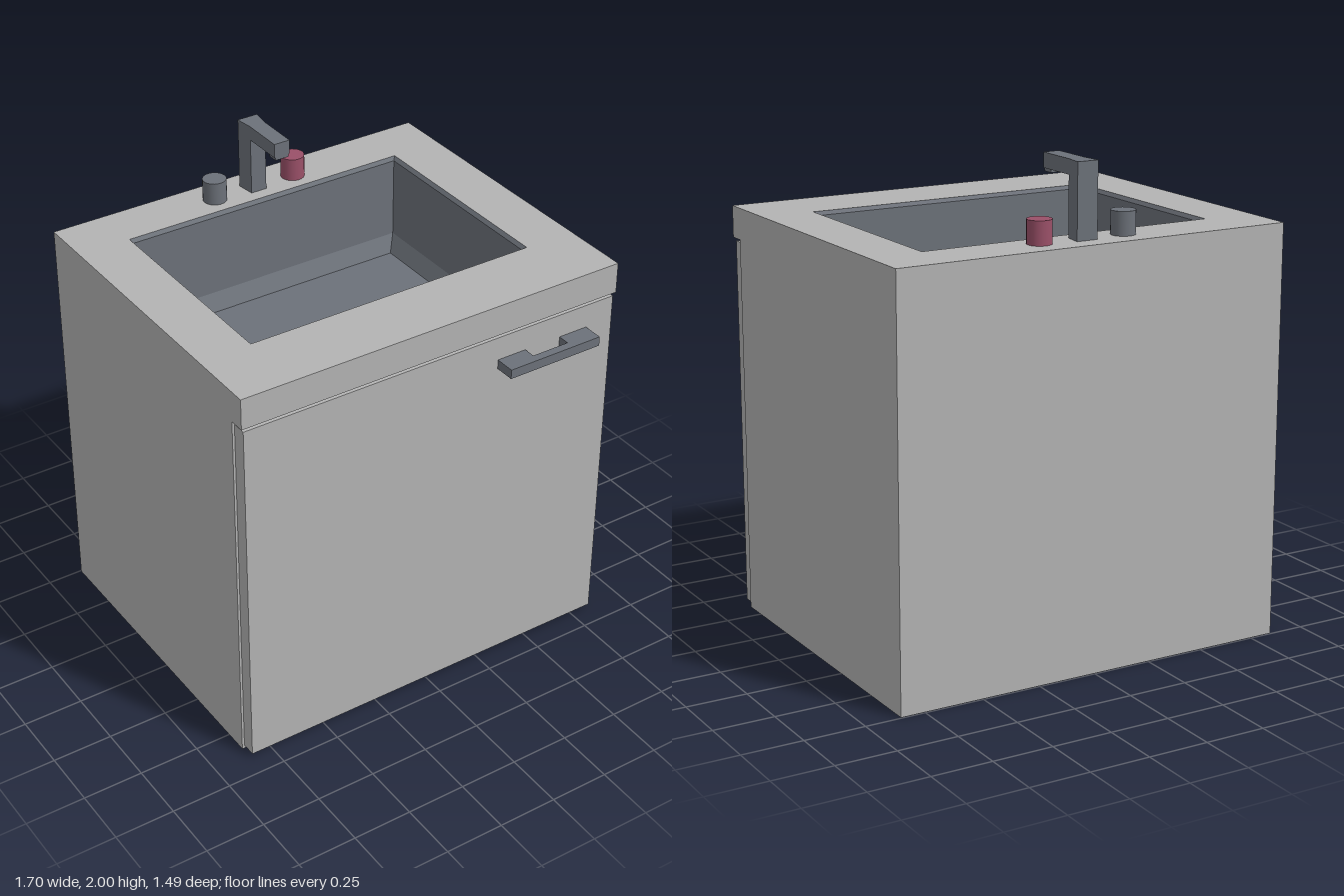
import * as THREE from 'three';

const mat = (name, color) => new THREE.MeshStandardMaterial({ name, color });

export function createModel() {
  const cabinet = mat('cabinetGrey', 0xb3b3b3);
  const steel = mat('steelGrey', 0x6c7179);
  const red = mat('hotRed', 0x9a5068);
  const model = new THREE.Group();
  model.name = 'sinkCabinet';

  const add = (name, geometry, material, parent = model) => {
    const mesh = new THREE.Mesh(geometry, material);
    mesh.name = name;
    parent.add(mesh);
    return mesh;
  };
  // Box given by its limits on each axis
  const box = (x0, x1, y0, y1, z0, z1) =>
    new THREE.BoxGeometry(x1 - x0, y1 - y0, z1 - z0)
      .translate((x0 + x1) / 2, (y0 + y1) / 2, (z0 + z1) / 2);
  // Plan outline of [x, z] points, extruded from y0 to y1
  const plan = (points, y0, y1, hole) => {
    const toV = ([x, z]) => new THREE.Vector2(x, -z);
    const shape = new THREE.Shape(points.map(toV));
    if (hole) shape.holes.push(new THREE.Path(hole.map(toV)));
    return new THREE.ExtrudeGeometry(shape, { depth: y1 - y0, bevelEnabled: false })
      .rotateX(-Math.PI / 2).translate(0, y0, 0);
  };
  const rect = (x, z0, z1) => [[-x, z0], [-x, z1], [x, z1], [x, z0]];

  // Cabinet body, open at the top so the basin can hang inside
  const body = box(-0.85, 0.85, 0, 1.57, -0.745, 0.6);
  const index = Array.from(body.index.array);
  index.splice(12, 6);
  body.setIndex(index);
  body.clearGroups();
  add('cabinetBody', body, cabinet);

  // Worktop with the basin opening, overhanging the front
  add('worktop', plan(rect(0.85, -0.745, 0.665), 1.57, 1.7, rect(0.63, -0.53, 0.375)), cabinet);
  add('door', box(-0.84, 0.84, 0.015, 1.555, 0.6, 0.66), cabinet);

  // Basin: rectangular rings joined from lip to floor
  const rings = [
    { y: 1.7, inset: 0 }, { y: 1.685, inset: 0.012 },
    { y: 1.34, inset: 0.012 }, { y: 1.27, inset: 0.048 },
  ].map(({ y, inset }) =>
    rect(0.63 - inset, -0.53 + inset, 0.375 - inset).map(([x, z]) => [x, y, z]));
  const pos = [];
  const quad = (a, b, c, d) => pos.push(...a, ...b, ...c, ...a, ...c, ...d);
  for (let r = 0; r < rings.length - 1; r++) {
    for (let i = 0; i < 4; i++) {
      const j = (i + 1) % 4;
      quad(rings[r][i], rings[r + 1][i], rings[r + 1][j], rings[r][j]);
    }
  }
  quad(...rings[rings.length - 1]);
  const basin = new THREE.BufferGeometry();
  basin.setAttribute('position', new THREE.Float32BufferAttribute(pos, 3));
  basin.computeVertexNormals();
  const basinMaterial = steel;
  basinMaterial.side = THREE.DoubleSide;
  add('basin', basin, basinMaterial);

  // Door handle: two posts and a bar
  const handle = new THREE.Group();
  handle.name = 'doorHandle';
  model.add(handle);
  add('handleGrip', box(0.29, 0.715, 1.415, 1.455, 0.71, 0.745), steel, handle);
  for (const x of [0.29, 0.585]) {
    add('handlePost', box(x, x + 0.13, 1.415, 1.455, 0.66, 0.71), steel, handle);
  }

  // Tap: tapered column, straight spout and short nozzle
  const tap = new THREE.Group();
  tap.name = 'tap';
  model.add(tap);
  add('tapColumn', plan([[-0.045, -0.663], [-0.035, -0.585], [0.035, -0.585], [0.045, -0.663]], 1.7, 2), steel, tap);
  add('tapSpout', box(-0.035, 0.035, 1.94, 2, -0.585, -0.403), steel, tap);
  add('tapNozzle', box(-0.03, 0.03, 1.927, 1.94, -0.45, -0.405), steel, tap);

  // Cold and hot knobs
  for (const [name, side, material] of [['coldKnob', -1, steel], ['hotKnob', 1, red]]) {
    add(name, new THREE.CylinderGeometry(0.049, 0.049, 0.095, 24), material)
      .position.set(side * 0.185, 1.7475, -0.623);
  }
  return model;
}
